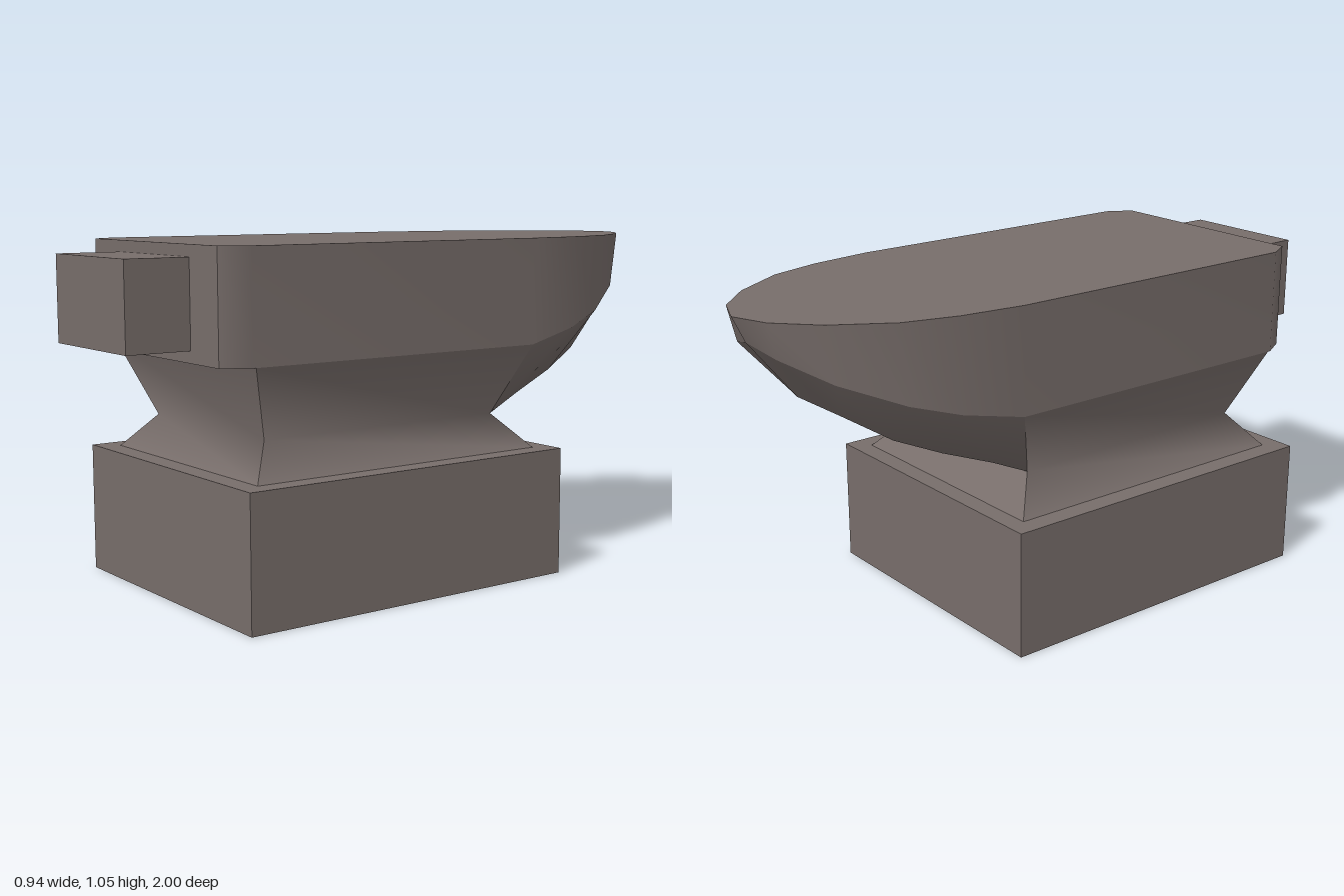
import * as THREE from 'three';

const iron = new THREE.MeshStandardMaterial({ color: 0x776d6a, side: THREE.DoubleSide });
iron.name = 'dull iron';

// Smooth surface through rows of [x, y, z] points
function patch(rows) {
  const n = rows[0].length, index = [];
  for (let i = 0; i < rows.length - 1; i++) {
    for (let j = 0; j < n - 1; j++) {
      const a = i * n + j, b = a + 1, c = a + n, d = c + 1;
      index.push(a, b, c, b, d, c);
    }
  }
  const g = new THREE.BufferGeometry();
  g.setAttribute('position', new THREE.Float32BufferAttribute(rows.flat(2), 3));
  g.setIndex(index);
  g.computeVertexNormals();
  return g;
}

// Horizontal plate from [x, z] outlines
function plate(outline, y, hole) {
  const toPoints = (list) => list.map(([x, z]) => new THREE.Vector2(x, -z));
  const shape = new THREE.Shape(toPoints(outline));
  if (hole) shape.holes.push(new THREE.Path(toPoints(hole)));
  return new THREE.ShapeGeometry(shape).rotateX(-Math.PI / 2).translate(0, y, 0);
}

// Corners running front left, back left, back right, front right
const rect = (w, back, front) => [[w, front], [w, back], [-w, back], [-w, front]];
const mirrorX = ([x, y, z]) => [-x, y, z];

export function createModel() {
  const model = new THREE.Group();
  const add = (parent, name, geometry) => {
    const mesh = new THREE.Mesh(geometry, iron);
    mesh.name = name;
    parent.add(mesh);
    return mesh;
  };
  const part = (name) => {
    const g = new THREE.Group();
    g.name = name;
    model.add(g);
    return g;
  };

  // Sides of a stack of rectangles, one patch per side so corners stay sharp
  const sides = (parent, name, levels, skip = () => false) => {
    for (let s = 0; s < 4; s++) {
      const rows = levels.filter((_, i) => !skip(s, i)).map(([y, w, back, front]) => {
        const r = rect(w, back, front);
        return [r[s], r[(s + 1) % 4]].map(([x, z]) => [x, y, z]);
      });
      add(parent, name, patch(rows));
    }
  };

  // Hollow base with an open middle
  const base = part('base');
  const outer = rect(0.47, -0.37, 0.775), inner = rect(0.405, -0.31, 0.71);
  sides(base, 'baseSide', [[0, 0.47, -0.37, 0.775], [0.4, 0.47, -0.37, 0.775]]);
  add(base, 'baseTop', plate(outer, 0.4, inner));
  const rim = plate(outer, 0, inner);
  rim.scale(1, -1, 1);
  rim.index.array.reverse();
  add(base, 'baseRim', rim);

  // Pinched waist; its upper back opens into the horn
  sides(part('waist'), 'waistSide', [
    [0.4, 0.405, -0.31, 0.71],
    [0.505, 0.307, -0.217, 0.625],
    [0.725, 0.405, -0.305, 0.71],
  ], (s, i) => s === 1 && i === 2);

  // Left half edges of body and horn, from the waist to the tip
  const topEdge = [[0.405, 1.055, -0.305], [0.38, 1.055, -0.51], [0.335, 1.055, -0.675],
    [0.23, 1.055, -0.845], [0.115, 1.055, -0.955], [0, 1.055, -1]];
  const sideEdge = [[0.405, 0.725, -0.305], [0.375, 0.765, -0.5], [0.33, 0.81, -0.65],
    [0.23, 0.88, -0.82], [0.11, 0.945, -0.93], [0, 0.975, -0.962]];
  const keelEdge = [[0.307, 0.505, -0.217], [0.295, 0.56, -0.34], [0.27, 0.62, -0.5],
    [0.23, 0.68, -0.64], [0.13, 0.75, -0.75], [0, 0.785, -0.81]];

  // Body wall running round the chamfers and the horn
  const wallRow = (edge, y) => {
    const half = [[0.36, y, 0.8], [0.405, y, 0.72], ...edge];
    return [...half, ...half.slice(0, -1).reverse().map(mirrorX)];
  };
  const low = wallRow(sideEdge, 0.725), high = wallRow(topEdge, 1.055);
  const body = part('body');
  add(body, 'bodyWall', patch([low, high]));
  add(body, 'bodyFront', patch([0.725, 1.055].map((y) => [[-0.36, y, 0.8], [0.36, y, 0.8]])));
  add(body, 'workFace', plate(high.map(([x, , z]) => [x, z]), 1.055));
  add(body, 'bodyUnderside', patch([
    [[-0.36, 0.725, 0.8], [-0.405, 0.725, 0.71]],
    [[0.36, 0.725, 0.8], [0.405, 0.725, 0.71]],
  ].reverse()));

  // Underside of the horn
  add(body, 'hornUnderside', patch(sideEdge.map((p, i) =>
    [p, keelEdge[i], mirrorX(keelEdge[i]), mirrorX(p)])));

  // Block on the front end
  add(model, 'heelBlock', new THREE.BoxGeometry(0.42, 0.26, 0.2)).position.set(0, 0.89, 0.9);
  return model;
}
